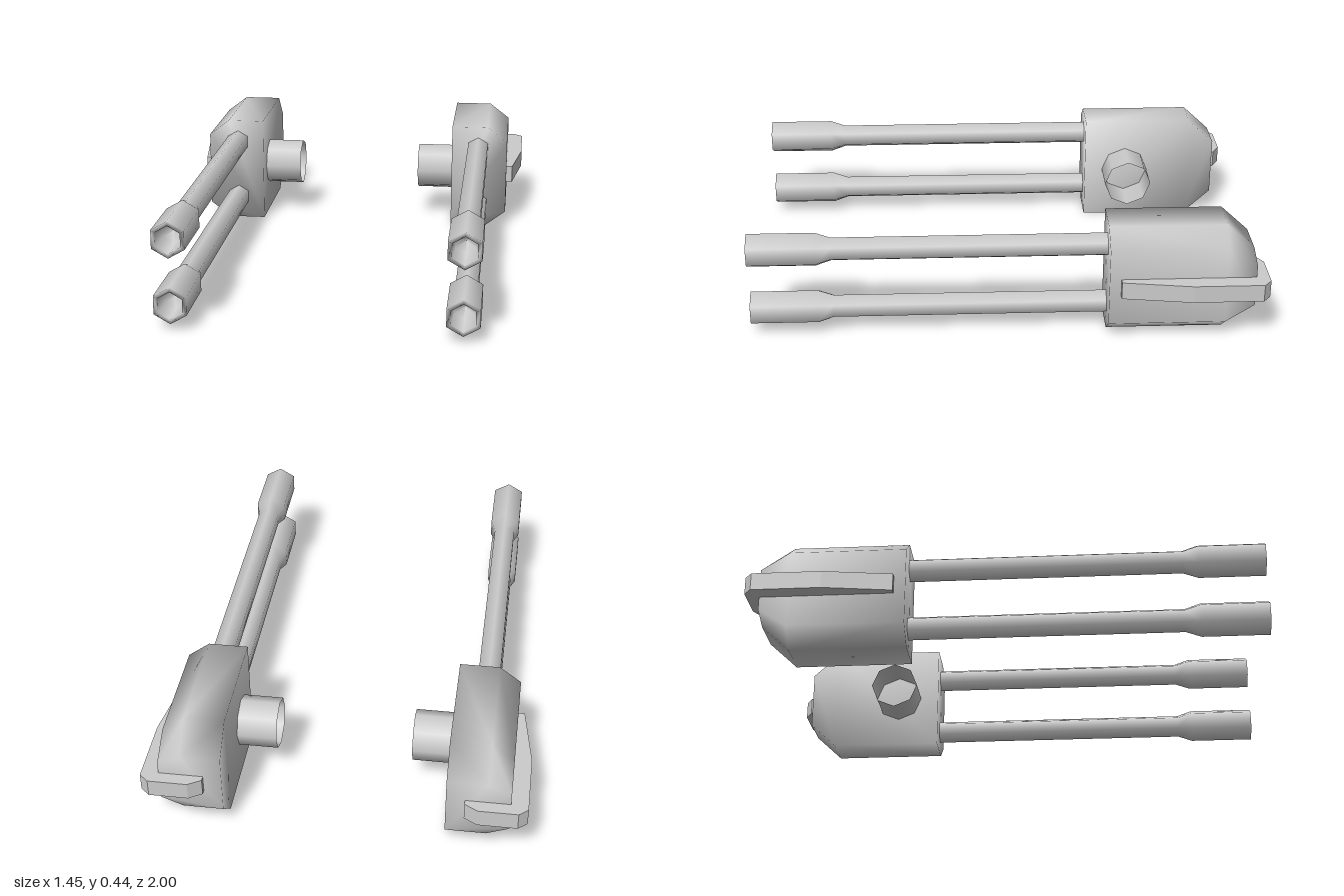
import * as THREE from 'three';

const material = new THREE.MeshStandardMaterial({ color: 0xcccccc, side: THREE.DoubleSide });

function part(name, geometry, x = 0, y = 0, z = 0) {
  const mesh = new THREE.Mesh(geometry, material);
  mesh.name = name;
  mesh.position.set(x, y, z);
  return mesh;
}

// Housing: one chamfered section lofted from back to front, pinched in height at the back
function housingGeometry() {
  const section = [[0.42, 0], [0.575, 0], [0.66, 0.065], [0.66, 0.38], [0.575, 0.445], [0.42, 0.445]];
  const rings = [[-0.95, 0.54], [-0.84, 1], [-0.385, 1]]; // z, height scale
  const n = section.length, mid = 0.2225;
  const positions = [], index = [];
  for (const [z, s] of rings) {
    for (const [x, y] of section) positions.push(x, mid + (y - mid) * s, z);
  }
  for (let r = 0; r < rings.length - 1; r++) {
    for (let i = 0; i < n; i++) {
      const a = r * n + i, b = r * n + (i + 1) % n;
      index.push(a, b, b + n, a, b + n, a + n);
    }
  }
  const front = (rings.length - 1) * n;
  for (let i = 1; i < n - 1; i++) {
    index.push(0, i + 1, i, front, front + i, front + i + 1);
  }
  const geometry = new THREE.BufferGeometry();
  geometry.setAttribute('position', new THREE.Float32BufferAttribute(positions, 3));
  geometry.setIndex(index);
  geometry.computeVertexNormals();
  return geometry;
}

// Six-sided barrel with a flared, hollow muzzle
function barrelGeometry() {
  const profile = [[0.049, -0.4], [0.049, 0.68], [0.071, 0.74], [0.071, 1], [0.053, 1], [0.045, 0.9], [0, 0.88]];
  return new THREE.LatheGeometry(profile.map(([r, z]) => new THREE.Vector2(r, z)), 6).rotateX(Math.PI / 2);
}

// Rail along the outer side, hooked around the back of the housing
function railGeometry() {
  const outline = [[0.64, -0.43], [0.685, -0.43], [0.725, -0.7], [0.725, -0.97], [0.69, -1],
    [0.54, -1], [0.49, -0.97], [0.49, -0.93], [0.64, -0.93]];
  const shape = new THREE.Shape(outline.map(([x, z]) => new THREE.Vector2(x, z)));
  return new THREE.ExtrudeGeometry(shape, { depth: 0.07, bevelEnabled: false }).rotateX(Math.PI / 2);
}

function createGun(name) {
  const gun = new THREE.Group();
  gun.name = name;
  gun.add(part('housing', housingGeometry()));
  gun.add(part('sideRail', railGeometry(), 0, 0.26, 0));
  // Open mounting tube on the inner side
  const tube = new THREE.CylinderGeometry(0.099, 0.099, 0.155, 8, 1, true).rotateZ(Math.PI / 2);
  gun.add(part('mountingTube', tube, 0.3425, 0.2175, -0.56));
  gun.add(part('upperBarrel', barrelGeometry(), 0.534, 0.35, 0));
  gun.add(part('lowerBarrel', barrelGeometry(), 0.534, 0.097, 0));
  return gun;
}

export function createModel() {
  const model = new THREE.Group();
  model.name = 'twinGuns';
  const left = createGun('leftGun');
  const right = createGun('rightGun');
  right.scale.x = -1;
  model.add(left, right);
  return model;
}
